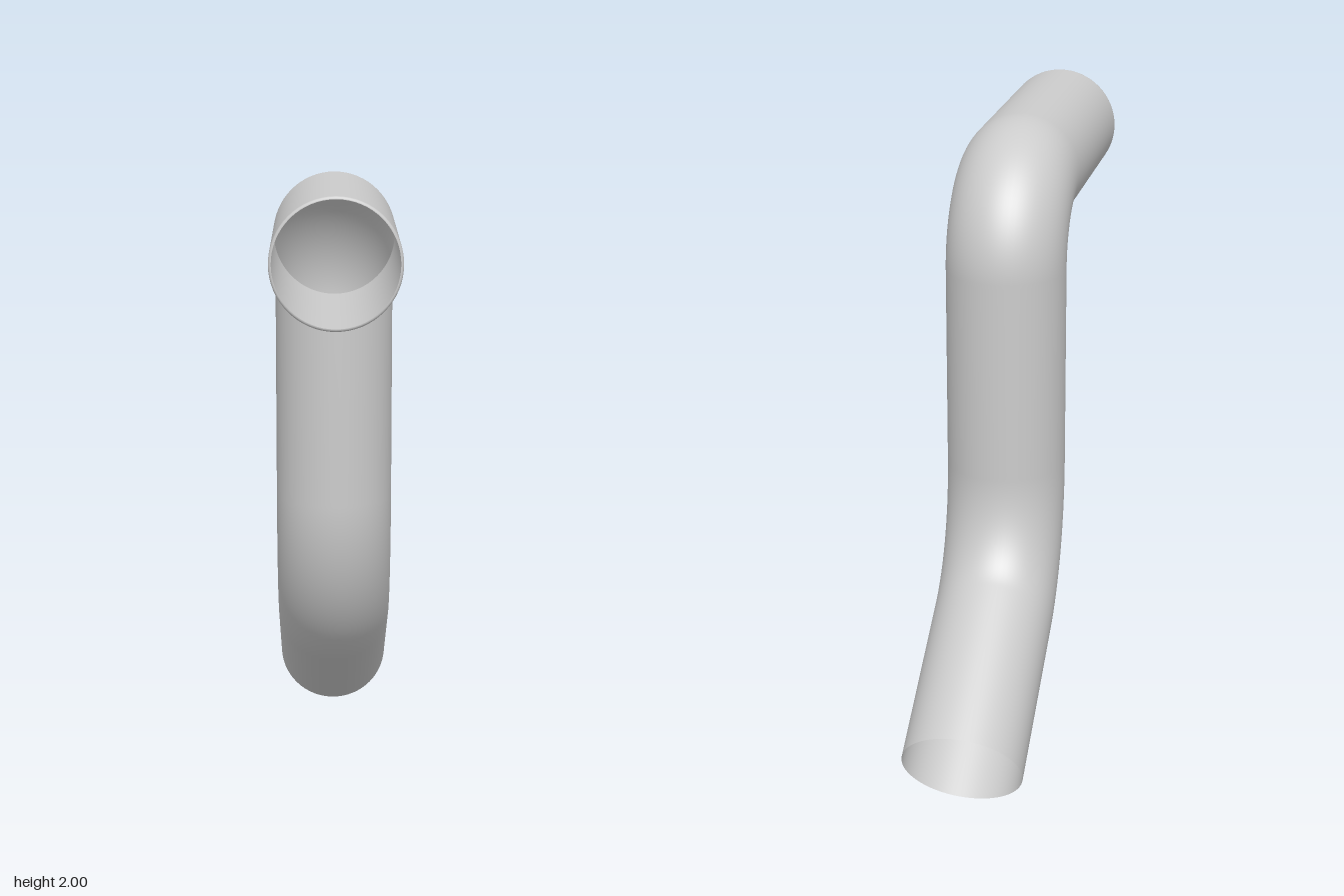
import * as THREE from 'three';

const RADIUS = 0.189;

// Point on the centre line, in the plane x = 0
const p = (z, y) => new THREE.Vector3(0, y, z);

// Smooth bend from a to b, with both tangents meeting at corner
function bend(a, corner, b, k) {
  return new THREE.CubicBezierCurve3(a, a.clone().lerp(corner, k), b.clone().lerp(corner, k), b);
}

export function createModel() {
  const group = new THREE.Group();
  group.name = 'bentPipe';
  const material = new THREE.MeshStandardMaterial({ color: 0xcccccc, side: THREE.DoubleSide });

  // Centre line: level run, tight elbow, vertical run, wide elbow, sloping outlet
  const topY = 2 - RADIUS, midZ = -0.09;
  const front = p(0.866, topY), elbowIn = p(0.16, topY), elbowOut = p(midZ, 1.56);
  const lowIn = p(midZ, 0.92), lowOut = p(-0.305, 0.46), outlet = p(-0.773, 0.163);
  const path = new THREE.CurvePath();
  path.add(new THREE.LineCurve3(front, elbowIn));
  path.add(bend(elbowIn, p(midZ, topY), elbowOut, 0.552));
  path.add(new THREE.LineCurve3(elbowOut, lowIn));
  path.add(bend(lowIn, p(midZ, 0.595), lowOut, 0.622));
  path.add(new THREE.LineCurve3(lowOut, outlet));

  // Open pipe
  const pipe = new THREE.Mesh(new THREE.TubeGeometry(path, 180, RADIUS, 64), material);
  pipe.name = 'pipe';
  group.add(pipe);

  // Slim rounded lip at the front mouth
  const profile = [[0, 0], [0, 0.004], [0.002, 0.007], [0.005, 0.009], [0.008, 0.009]]
    .map(([inset, h]) => new THREE.Vector2(RADIUS - inset, h));
  const lip = new THREE.Mesh(new THREE.LatheGeometry(profile, 64), material);
  lip.name = 'frontLip';
  lip.rotation.x = Math.PI / 2;
  lip.position.copy(front);
  group.add(lip);

  return group;
}
